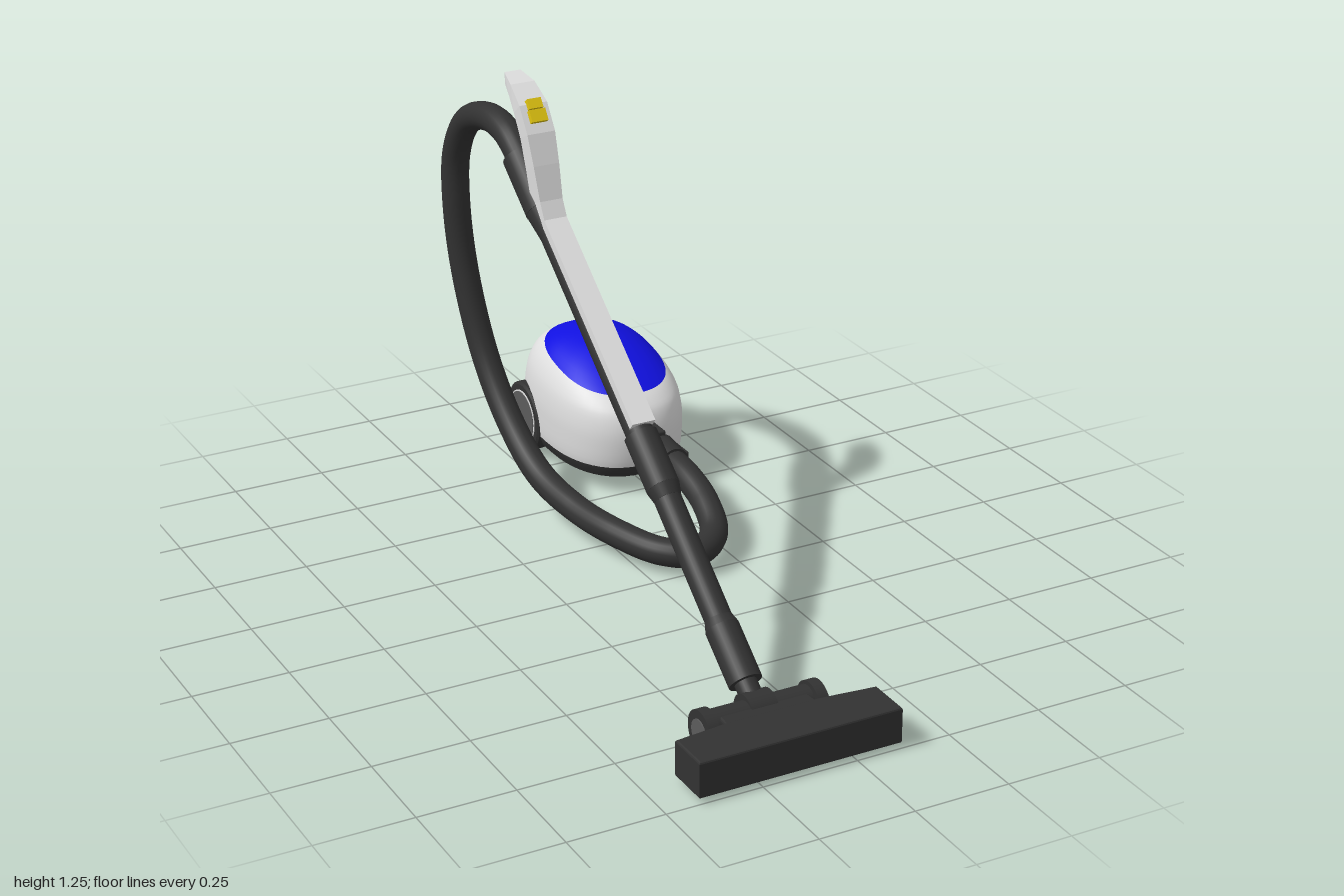
import * as THREE from 'three';
import { RoundedBoxGeometry } from 'three/addons/geometries/RoundedBoxGeometry.js';

const V = (x, y, z) => new THREE.Vector3(x, y, z);

function material(name, color) {
  const m = new THREE.MeshStandardMaterial({ color });
  m.name = name;
  return m;
}

// Skin over closed rings of equal point count; each ring is an array of Vector3
function loft(rings) {
  const n = rings[0].length, index = [];
  for (let i = 0; i < rings.length - 1; i++) {
    for (let j = 0; j < n; j++) {
      const a = i * n + j, b = i * n + (j + 1) % n;
      index.push(a, a + n, b, b, a + n, b + n);
    }
  }
  const g = new THREE.BufferGeometry().setFromPoints(rings.flat());
  g.setIndex(index);
  g.computeVertexNormals();
  return g;
}

// Collapsed copy of a ring, used to close an end
function closed(ring) {
  const c = V(0, 0, 0);
  ring.forEach(p => c.addScaledVector(p, 1 / ring.length));
  return ring.map(() => c.clone());
}

export function createModel() {
  const dark = material('charcoal plastic', 0x323232);
  const black = material('black recess', 0x1e1e1e);
  const grey = material('grey hub', 0x5c5c5c);
  const white = material('light shell', 0xdedede);
  const blue = material('blue lid', 0x1010e0);
  const yellow = material('yellow button', 0xe0c410);
  const model = new THREE.Group();

  function add(name, geometry, mat, x = 0, y = 0, z = 0, parent = model) {
    const m = new THREE.Mesh(geometry, mat);
    m.name = name;
    m.position.set(x, y, z);
    parent.add(m);
    return m;
  }
  // Cylinder running from a to b
  function rod(name, a, b, ra, rb, mat, parent = model) {
    const d = b.clone().sub(a);
    const m = add(name, new THREE.CylinderGeometry(rb, ra, d.length(), 28), mat, 0, 0, 0, parent);
    m.position.copy(a).add(b).multiplyScalar(0.5);
    m.quaternion.setFromUnitVectors(V(0, 1, 0), d.normalize());
    return m;
  }

  // ---- Canister body: tilted rounded outlines [zFront, yFront, zBack, yBack, halfWidth]
  const cx = 0.23, N = 48, STEP = 3;
  const rows = [
    [-0.49, 0.055, -0.97, 0.055, 0.163],
    [-0.475, 0.088, -0.985, 0.088, 0.177],
    [-0.468, 0.15, -0.998, 0.16, 0.182],
    [-0.471, 0.195, -1.0, 0.21, 0.182],
    [-0.485, 0.235, -0.985, 0.27, 0.175],
    [-0.505, 0.257, -0.955, 0.315, 0.162],
    [-0.53, 0.276, -0.912, 0.345, 0.145],
    [-0.60, 0.317, -0.875, 0.361, 0.113],
    [-0.68, 0.353, -0.83, 0.37, 0.064],
    [-0.765, 0.374, -0.765, 0.374, 0],
  ];
  const front = new THREE.CatmullRomCurve3(rows.map(r => V(r[4], r[1], r[0])));
  const back = new THREE.CatmullRomCurve3(rows.map(r => V(0, r[3], r[2])));
  const power = v => Math.sign(v) * Math.pow(Math.abs(v), 0.82);
  const bands = (rows.length - 1) * STEP;
  const bodyRings = [];
  for (let i = 0; i <= bands; i++) {
    const f = front.getPoint(i / bands), b = back.getPoint(i / bands);
    bodyRings.push(Array.from({ length: N }, (_, j) => {
      const t = j / N * Math.PI * 2, s = (1 + power(Math.sin(t))) / 2;
      return V(cx + f.x * power(Math.cos(t)),
        THREE.MathUtils.lerp(b.y, f.y, s), THREE.MathUtils.lerp(b.z, f.z, s));
    }));
  }
  bodyRings.unshift(closed(bodyRings[0]), bodyRings[0].map(p => p.clone()));
  const bodyGeo = loft(bodyRings);
  let start = 0;
  [2 + STEP, 5 * STEP, 3 * STEP].forEach((count, k) => {
    bodyGeo.addGroup(start, count * N * 6, k);
    start += count * N * 6;
  });
  add('canisterBody', bodyGeo, [dark, white, blue]);

  // ---- Rear wheels with pale rings and grey hubs
  for (const s of [-1, 1]) {
    const at = r => V(cx + s * r, 0.115, -0.86);
    const wheel = new THREE.Group();
    wheel.name = s > 0 ? 'leftWheel' : 'rightWheel';
    model.add(wheel);
    rod('tyre', at(0.145), at(0.18), 0.097, 0.097, dark, wheel);
    rod('tyreEdge', at(0.18), at(0.185), 0.097, 0.09, dark, wheel);
    rod('wheelRing', at(0.18), at(0.187), 0.075, 0.075, white, wheel);
    rod('wheelHub', at(0.18), at(0.189), 0.071, 0.071, grey, wheel);
  }
  // Front caster
  rod('casterWheel', V(cx - 0.014, 0.042, -0.56), V(cx + 0.014, 0.042, -0.56), 0.02, 0.02, grey);
  rod('casterStem', V(cx, 0.04, -0.565), V(cx, 0.075, -0.565), 0.012, 0.016, dark);

  // ---- Hose connector on the canister
  rod('hoseSocket', V(cx, 0.16, -0.5), V(cx, 0.16, -0.4), 0.038, 0.038, dark);
  rod('hoseCollar', V(cx, 0.16, -0.405), V(cx, 0.156, -0.32), 0.046, 0.042, dark);
  add('collarLatch', new RoundedBoxGeometry(0.03, 0.035, 0.09, 2, 0.006), dark, cx, 0.2, -0.44);
  add('collarGrips', new RoundedBoxGeometry(0.1, 0.03, 0.07, 2, 0.006), dark, cx, 0.16, -0.365);

  // ---- Flexible hose
  const wx = -0.148;
  const hosePath = new THREE.CatmullRomCurve3([
    V(0.23, 0.157, -0.36), V(0.232, 0.148, -0.26), V(0.23, 0.115, -0.15), V(0.2, 0.075, -0.05),
    V(0.125, 0.06, -0.003), V(0.05, 0.06, -0.05), V(-0.015, 0.07, -0.18), V(-0.055, 0.083, -0.34),
    V(-0.08, 0.12, -0.5), V(-0.093, 0.21, -0.64), V(-0.108, 0.36, -0.76), V(-0.13, 0.58, -0.83),
    V(-0.145, 0.78, -0.845), V(wx, 0.93, -0.83), V(wx, 1.04, -0.755), V(wx, 1.093, -0.62),
    V(wx, 1.083, -0.51), V(wx, 1.025, -0.41)]);
  add('hose', new THREE.TubeGeometry(hosePath, 160, 0.037, 20), dark);

  // ---- Wand: tubes and collars [zStart, yStart, zEnd, yEnd, rStart, rEnd]
  const wand = new THREE.Group();
  wand.name = 'wand';
  model.add(wand);
  [
    ['neckTube', 0.8, 0.065, 0.7, 0.145, 0.028, 0.028],
    ['lowerCollar', 0.735, 0.117, 0.62, 0.207, 0.042, 0.042],
    ['lowerCollarTaper', 0.62, 0.207, 0.6, 0.223, 0.042, 0.034],
    ['lowerTube', 0.64, 0.192, 0.27, 0.49, 0.034, 0.034],
    ['middleCollarTaper', 0.35, 0.427, 0.325, 0.447, 0.034, 0.042],
    ['middleCollar', 0.325, 0.447, 0.21, 0.538, 0.042, 0.042],
    ['upperTube', 0.23, 0.522, -0.36, 0.98, 0.035, 0.035],
    ['endCollarTaper', -0.25, 0.895, -0.31, 0.942, 0.035, 0.045],
    ['endCollar', -0.31, 0.942, -0.44, 1.043, 0.046, 0.046],
  ].forEach(([name, za, ya, zb, yb, ra, rb]) =>
    rod(name, V(wx, ya, za), V(wx, yb, zb), ra, rb, dark, wand));

  // ---- Light strip and curved grip [zFront, yFront, zRear, yRear, halfWidth]
  const gripRings = [
    [0.227, 0.579, 0.212, 0.561, 0.031],
    [-0.243, 0.944, -0.258, 0.926, 0.031],
    [-0.265, 0.985, -0.315, 0.965, 0.031],
    [-0.29, 1.07, -0.335, 1.05, 0.035],
    [-0.317, 1.145, -0.358, 1.125, 0.038],
    [-0.36, 1.208, -0.393, 1.18, 0.038],
    [-0.42, 1.245, -0.43, 1.213, 0.033],
    [-0.477, 1.259, -0.475, 1.228, 0.022],
  ].map(([fz, fy, bz, by, w]) =>
    [V(wx + w, by, bz), V(wx + w, fy, fz), V(wx - w, fy, fz), V(wx - w, by, bz)]);
  gripRings.unshift(closed(gripRings[0]));
  gripRings.push(closed(gripRings[gripRings.length - 1]));
  const gripGeo = loft(gripRings).toNonIndexed();
  gripGeo.computeVertexNormals();
  add('gripAndStrip', gripGeo, white);

  // Buttons on the grip
  add('lowerButton', new THREE.BoxGeometry(0.044, 0.032, 0.022), yellow, wx, 1.182, -0.338).rotation.x = -0.6;
  add('upperButton', new THREE.BoxGeometry(0.038, 0.026, 0.018), yellow, wx, 1.208, -0.356).rotation.x = -0.65;

  // ---- Floor head: slab with tapered back and a narrower rear block
  function slab(name, half, y, height, mat) {
    const pts = [...half, ...half.slice().reverse().map(([x, z]) => [-x, z])];
    const g = new THREE.ExtrudeGeometry(
      new THREE.Shape(pts.map(([x, z]) => new THREE.Vector2(x, -z))),
      { depth: height - 0.01, bevelSize: 0.005, bevelThickness: 0.005, bevelSegments: 2 });
    g.rotateX(-Math.PI / 2);
    add(name, g, mat, wx, y + 0.005, 0);
  }
  slab('floorHead', [[0.262, 0.995], [0.262, 0.888], [0.12, 0.873]], 0.018, 0.094, dark);
  slab('floorHeadRear', [[0.118, 0.88], [0.112, 0.8]], 0.03, 0.07, dark);
  add('suctionSlot', new THREE.BoxGeometry(0.46, 0.006, 0.055), black, wx, 0.016, 0.945);

  // Swivel barrel and head wheels
  rod('swivelBarrel', V(wx - 0.13, 0.065, 0.8), V(wx + 0.13, 0.065, 0.8), 0.042, 0.042, dark);
  rod('swivelJoint', V(wx - 0.035, 0.068, 0.79), V(wx + 0.035, 0.068, 0.79), 0.05, 0.05, dark);
  for (const s of [-1, 1]) {
    const at = r => V(wx + s * r, 0.06, 0.803);
    rod('headWheel', at(0.132), at(0.16), 0.056, 0.056, dark);
    rod('headWheelHub', at(0.155), at(0.163), 0.034, 0.034, grey);
  }
  return model;
}
